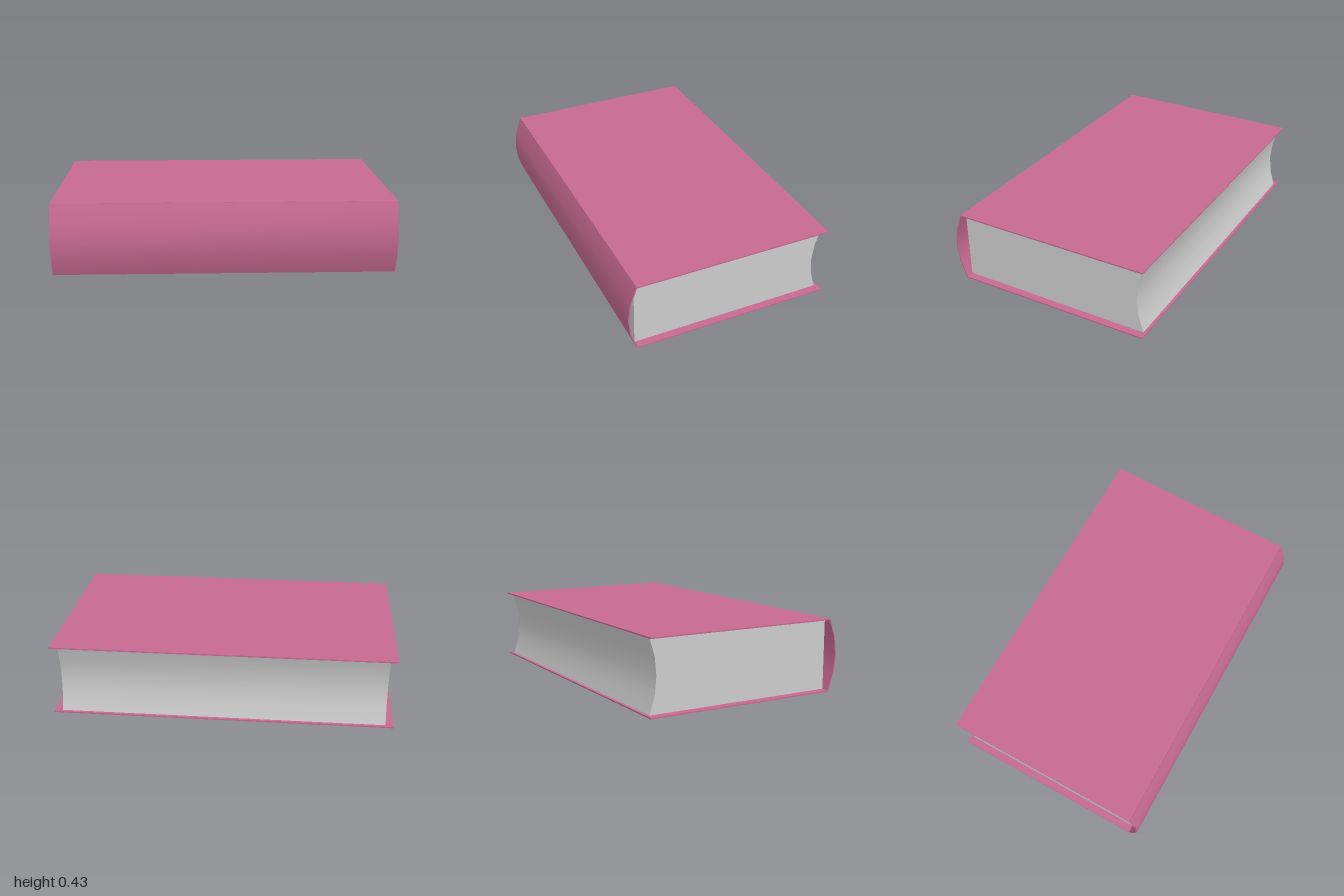
import * as THREE from 'three';
import { toCreasedNormals } from 'three/addons/utils/BufferGeometryUtils.js';

const HEIGHT = 0.428, MID = HEIGHT / 2, BOARD = 0.008;
const HINGE = 0.563, FORE = -0.617;

// Extrudes a (z, y) outline along x, centred on x = 0
function extrudeAlongX(points, length) {
  const shape = new THREE.Shape(points.map(([z, y]) => new THREE.Vector2(-z, y)));
  const geo = new THREE.ExtrudeGeometry(shape, { depth: length, bevelEnabled: false });
  geo.translate(0, 0, -length / 2);
  geo.rotateY(Math.PI / 2);
  return toCreasedNormals(geo, 0.6);
}

// Shallow arc of (z, y) points from bottom to top, bulging by depth in z
function arc(z, depth, bottom, top, segments) {
  return Array.from({ length: segments + 1 }, (_, i) => {
    const t = i / segments;
    return [z + depth * 4 * t * (1 - t), bottom + (top - bottom) * t];
  });
}

export function createModel() {
  const group = new THREE.Group();
  const coverMat = new THREE.MeshStandardMaterial({ color: 0xc66a8f, side: THREE.DoubleSide });
  const pageMat = new THREE.MeshStandardMaterial({ color: 0xcccccc, side: THREE.DoubleSide });
  const add = (name, geo, mat) => {
    const mesh = new THREE.Mesh(geo, mat);
    mesh.name = name;
    group.add(mesh);
    return mesh;
  };

  // Cover boards
  for (const [name, y] of [['bottomCover', BOARD / 2], ['topCover', HEIGHT - BOARD / 2]]) {
    const board = add(name, new THREE.BoxGeometry(2, BOARD, HINGE - FORE), coverMat);
    board.position.set(0, y, (HINGE + FORE) / 2);
  }

  // Curved hollow spine
  const outer = arc(HINGE + 0.002, 0.052, 0, HEIGHT, 4);
  const inner = arc(HINGE - 0.003, 0.05, BOARD * 0.6, HEIGHT - BOARD * 0.6, 4);
  add('spine', extrudeAlongX([...outer, ...inner.reverse()], 2), coverMat);

  // Page block with a hollowed fore edge, set in from the cover ends
  const pageLength = 1.91;
  const low = BOARD - 0.001, high = HEIGHT - low;
  const foreEdge = arc(-0.6, 0.042, low, high, 4);
  add('pages', extrudeAlongX([[HINGE, high], [HINGE, low], ...foreEdge], pageLength), pageMat);

  // Bound edge of the pages, swelling toward the middle
  const bound = new THREE.PlaneGeometry(pageLength, high - low, 4, 4);
  const p = bound.attributes.position;
  for (let i = 0; i < p.count; i++) {
    const u = p.getX(i) / (pageLength / 2), v = p.getY(i) / ((high - low) / 2);
    p.setZ(i, 0.025 * (1 - u * u) * (1 - v * v));
  }
  bound.computeVertexNormals();
  add('boundEdge', bound, pageMat).position.set(0, MID, HINGE);

  return group;
}
